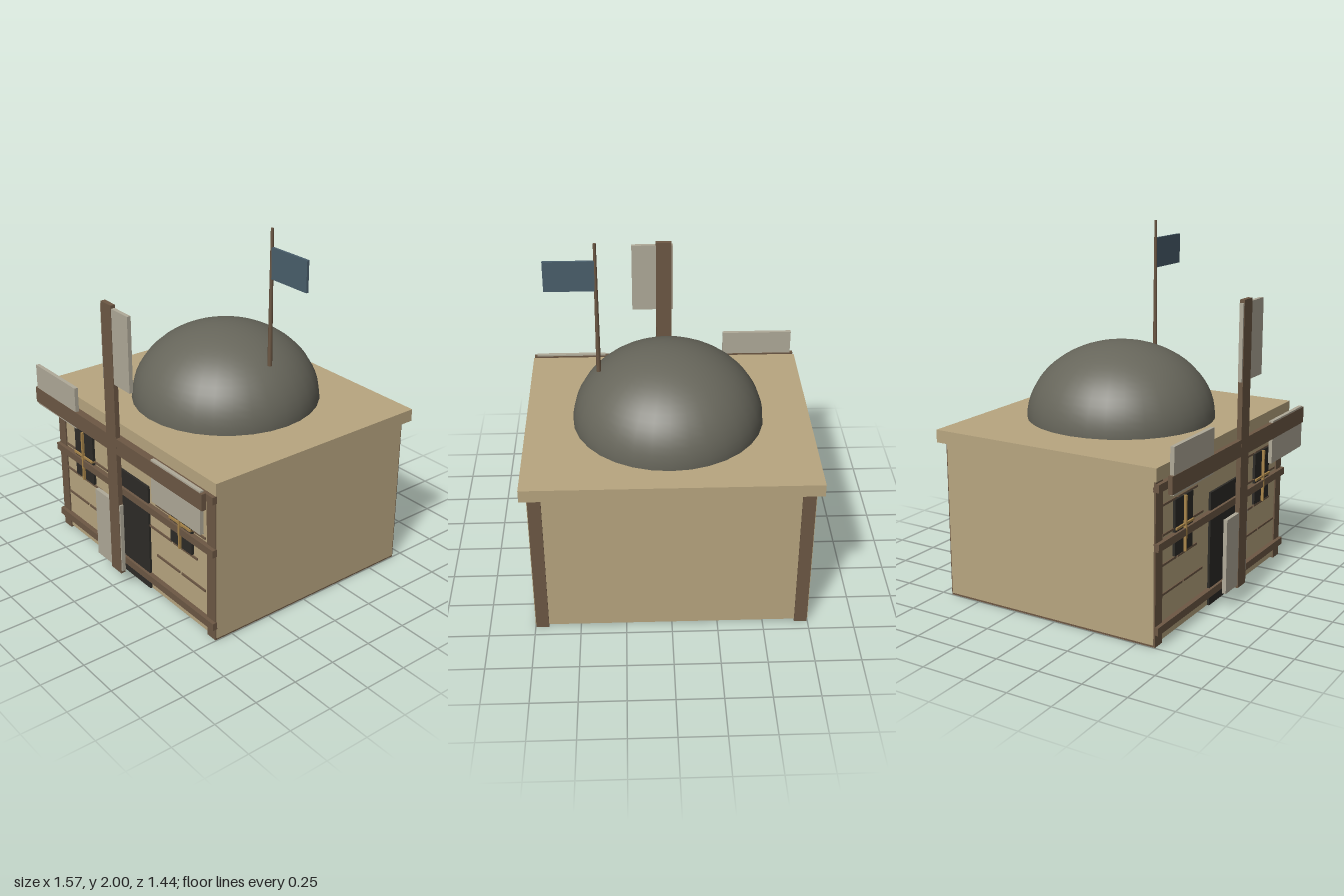
import * as THREE from 'three';

const mat = (color) => new THREE.MeshStandardMaterial({ color });

export function createModel() {
  const model = new THREE.Group();
  const plaster = mat(0xb8a680), wood = mat(0x6d5844), sailcloth = mat(0xb0aa99);
  const dark = mat(0x2d2b27), stone = mat(0x67665b), gold = mat(0xa8854a), blue = mat(0x4a5f6c);

  // Box given by its lower and upper limits on each axis
  const box = (name, material, x0, x1, y0, y1, z0, z1, parent = model) => {
    const mesh = new THREE.Mesh(new THREE.BoxGeometry(x1 - x0, y1 - y0, z1 - z0), material);
    mesh.position.set((x0 + x1) / 2, (y0 + y1) / 2, (z0 + z1) / 2);
    mesh.name = name;
    parent.add(mesh);
    return mesh;
  };

  // House body and flat roof
  box('walls', plaster, -0.75, 0.75, 0.012, 0.88, -0.682, 0.597);
  box('roofSlab', plaster, -0.785, 0.785, 0.88, 0.95, -0.722, 0.63);

  // Timber frames running through the house, showing at front and back
  for (const s of [-1, 1]) {
    const x = s * 0.711;
    box('cornerFrame', wood, x - 0.035, x + 0.035, 0, 0.88, -0.69, 0.605);
  }
  // Rails across the front
  for (const y of [0.09, 0.53, 0.835]) box('frontRail', wood, -0.75, 0.75, y - 0.021, y + 0.021, 0.59, 0.625);

  // Door and windows with crossed bars
  box('door', dark, -0.17, 0.167, 0.012, 0.65, 0.59, 0.61);
  for (const x of [-0.467, 0.463]) {
    box('windowPane', dark, x - 0.093, x + 0.093, 0.425, 0.725, 0.59, 0.612);
    box('windowMullion', gold, x - 0.006, x + 0.006, 0.425, 0.725, 0.6, 0.627);
    box('windowTransom', gold, x - 0.093, x + 0.093, 0.565, 0.577, 0.6, 0.622);
  }

  // Staggered plank seams beside the door
  [0.255, 0.412, 0.57, 0.727].forEach((y, row) => {
    const shift = row % 2 ? 0 : 0.068;
    for (const start of [-0.74, 0.16]) {
      for (const k of [0, 1]) {
        const x = start + shift + k * 0.223;
        box('plankSeam', wood, x, x + 0.207, y - 0.006, y + 0.006, 0.59, 0.604);
      }
    }
  });

  // Dome
  const dome = new THREE.Mesh(new THREE.SphereGeometry(0.525, 32, 16, 0, Math.PI * 2, 0, Math.PI / 2), stone);
  dome.scale.y = 0.8;
  dome.position.set(0, 0.95, -0.046);
  dome.name = 'dome';
  model.add(dome);

  // Sails: two crossed spars and four panels turned a quarter each
  const sails = new THREE.Group();
  sails.name = 'sails';
  sails.position.set(0, 0.878, 0.706);
  model.add(sails);
  box('verticalSpar', wood, -0.046, 0.046, -0.787, 0.787, -0.0135, 0.0135, sails);
  box('horizontalSpar', wood, -0.787, 0.787, -0.046, 0.046, -0.013, 0.013, sails);
  for (let i = 0; i < 4; i++) {
    const blade = new THREE.Group();
    blade.name = 'blade';
    blade.rotation.z = i * Math.PI / 2;
    box('sailPanel', sailcloth, -0.055, 0.188, 0.357, 0.77, -0.011, 0.011, blade);
    sails.add(blade);
  }

  // Flag on a tapering pole
  const pole = new THREE.Mesh(new THREE.CylinderGeometry(0.008, 0.013, 0.75, 8), wood);
  pole.position.set(0.375, 1.625, -0.046);
  pole.name = 'flagPole';
  model.add(pole);
  box('flag', blue, 0.38, 0.648, 1.733, 1.902, -0.053, -0.039);

  return model;
}
